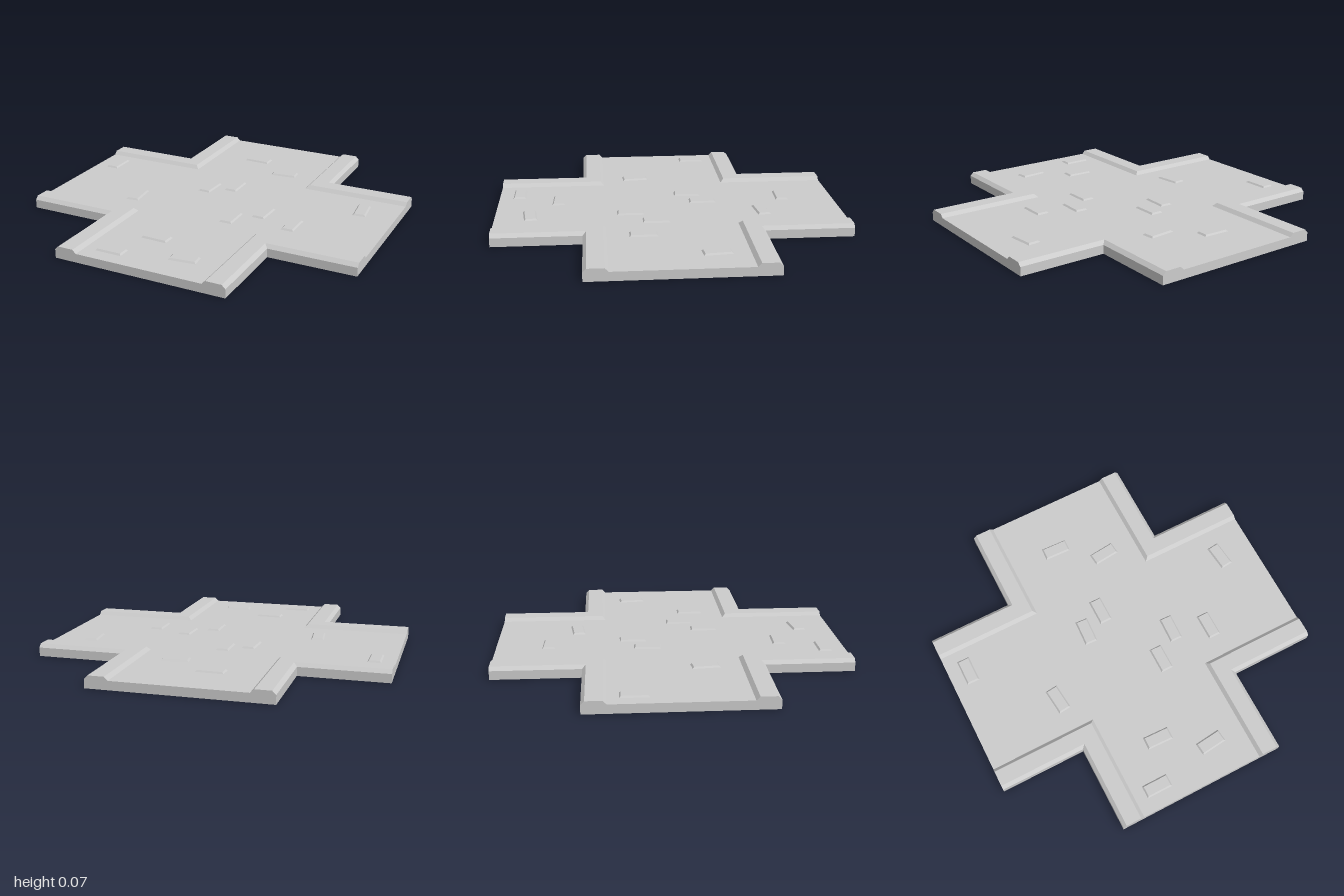
import * as THREE from 'three';

const FLOOR = 0.05;
// kerb cross-section: [distance from the road's centre line, height]
const KERB = [[0.37, FLOOR], [0.39, 0.07], [0.48, 0.07], [0.5, FLOOR], [0.5, 0]];

const material = new THREE.MeshStandardMaterial({ color: 0xcccccc, flatShading: true, side: THREE.DoubleSide });

// Kerb swept round one inner corner of the crossing, with a mitred bend
function kerbGeometry() {
  const positions = [], index = [];
  for (const [d, y] of KERB) positions.push(d, y, 1, d, y, d, 1, y, d);
  for (let i = 0; i < KERB.length - 1; i++) {
    for (let j = 0; j < 2; j++) {
      const a = i * 3 + j, b = a + 1, c = a + 3, d = a + 4;
      index.push(a, c, b, b, c, d);
    }
  }
  const indexed = new THREE.BufferGeometry();
  indexed.setAttribute('position', new THREE.Float32BufferAttribute(positions, 3));
  indexed.setIndex(index);
  const geometry = indexed.toNonIndexed();
  geometry.computeVertexNormals();
  return geometry;
}

// Upright end wall of an arm, following the kerb outline on both sides
function endGeometry() {
  const right = KERB.map(([x, y]) => new THREE.Vector2(x, y));
  const left = KERB.map(([x, y]) => new THREE.Vector2(-x, y)).reverse();
  return new THREE.ShapeGeometry(new THREE.Shape([...left, ...right])).translate(0, 0, 1);
}

// Cross-shaped road surface
function floorGeometry() {
  const w = KERB[0][0], points = [];
  for (let k = 0; k < 4; k++) {
    for (const [x, y] of [[1, -w], [1, w], [w, w]]) {
      points.push(new THREE.Vector2(x, y).rotateAround(new THREE.Vector2(), k * Math.PI / 2));
    }
  }
  return new THREE.ShapeGeometry(new THREE.Shape(points)).rotateX(-Math.PI / 2).translate(0, FLOOR, 0);
}

// Paving brick with a bevelled top and no underside
function brickGeometry() {
  const length = 0.155, width = 0.075, height = 0.009, inset = 0.008;
  const geometry = new THREE.BoxGeometry(length, height, width).translate(0, height / 2, 0);
  const p = geometry.attributes.position;
  for (let i = 0; i < p.count; i++) {
    if (p.getY(i) < height / 2) continue;
    p.setX(i, p.getX(i) - Math.sign(p.getX(i)) * inset);
    p.setZ(i, p.getZ(i) - Math.sign(p.getZ(i)) * inset);
  }
  const index = Array.from(geometry.index.array);
  index.splice(18, 6); // bottom face
  geometry.clearGroups();
  geometry.setIndex(index);
  geometry.computeVertexNormals();
  return geometry;
}

// x, z and heading in degrees
const BRICKS = [
  [-0.085, -0.695, -2], [0.165, -0.535, 6], [-0.885, -0.23, 90], [-0.16, -0.13, 87],
  [-0.025, -0.21, 90], [0.79, -0.195, 96], [-0.495, 0.17, 96], [0.155, 0.225, 90],
  [0.295, 0.085, 88], [0.505, 0.17, 90], [-0.09, 0.64, -2], [0.165, 0.8, 6], [-0.225, 0.88, 0],
];

export function createModel() {
  const model = new THREE.Group();
  model.name = 'roadCrossing';
  const add = (name, geometry) => {
    const mesh = new THREE.Mesh(geometry, material);
    mesh.name = name;
    model.add(mesh);
    return mesh;
  };

  add('roadSurface', floorGeometry());

  // four kerbs and four arm ends
  const kerb = kerbGeometry(), end = endGeometry();
  for (let k = 0; k < 4; k++) {
    add('kerb', kerb).rotation.y = k * Math.PI / 2;
    add('armEnd', end).rotation.y = k * Math.PI / 2;
  }

  // scattered raised bricks
  const brick = brickGeometry();
  for (const [x, z, angle] of BRICKS) {
    const mesh = add('brick', brick);
    mesh.position.set(x, FLOOR, z);
    mesh.rotation.y = THREE.MathUtils.degToRad(angle);
  }
  return model;
}
